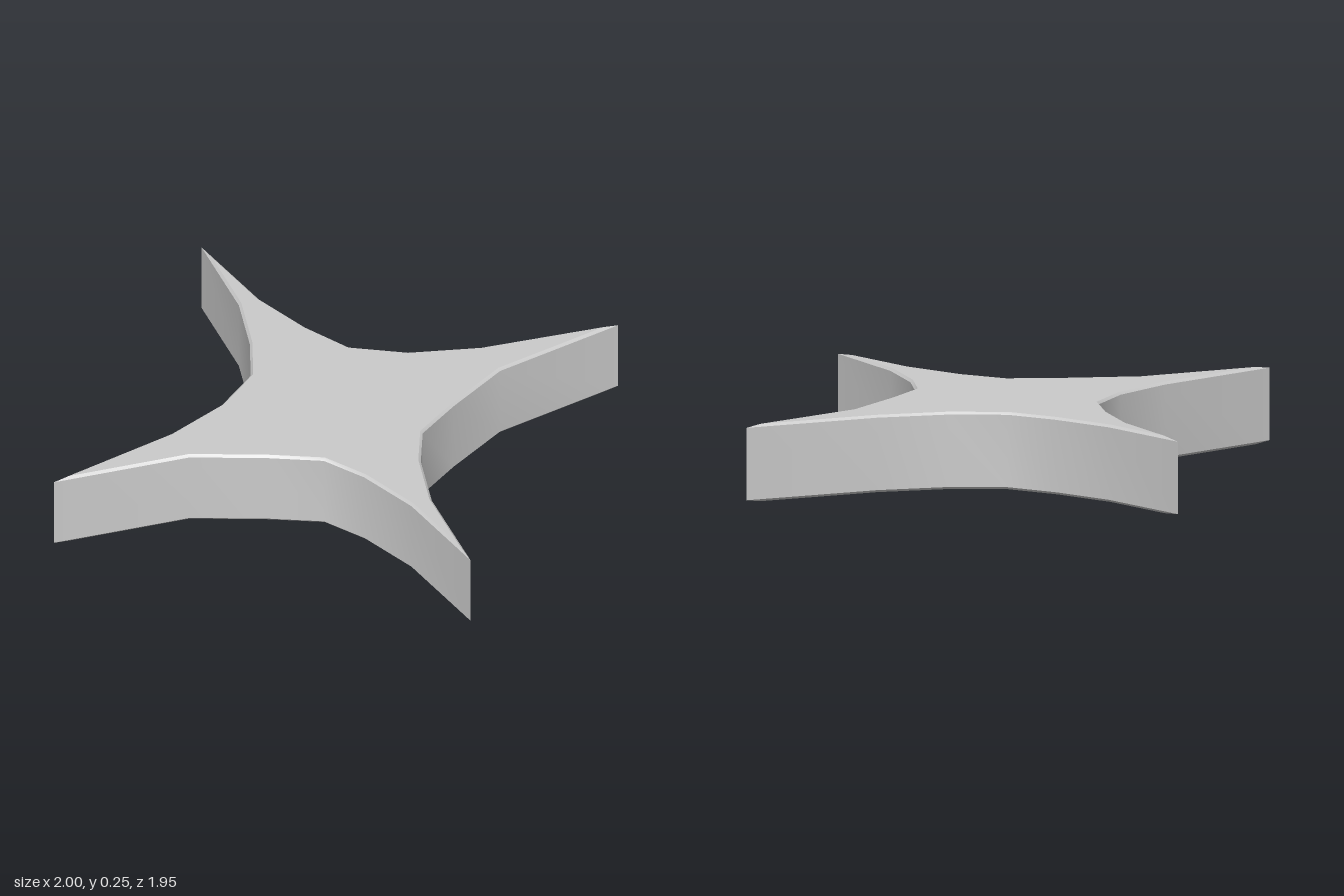
import * as THREE from 'three';
import { toCreasedNormals } from 'three/addons/utils/BufferGeometryUtils.js';

// Half outline (x, z) from the back tip round to the front tip
const HALF = [
  [0, -0.975], [0.036, -0.63], [0.1, -0.42], [0.175, -0.26], [0.33, -0.152], [0.55, -0.075],
  [1, 0],
  [0.55, 0.065], [0.33, 0.177], [0.175, 0.27], [0.1, 0.41], [0.036, 0.62], [0, 0.975],
];
const HEIGHT = 0.25;
const BEVEL = 0.008;

// Moves every corner inwards so that all edges shift by the same distance
function inset(points, d) {
  const n = points.length;
  return points.map((p, i) => {
    const normal = (a, b) => new THREE.Vector2(a.y - b.y, b.x - a.x).normalize();
    const n1 = normal(points[(i + n - 1) % n], p);
    const n2 = normal(p, points[(i + 1) % n]);
    return n1.clone().add(n2).multiplyScalar(d / (1 + n1.dot(n2))).add(p);
  });
}

function starGeometry() {
  const mirrored = HALF.slice(1, -1).reverse().map(([x, z]) => [-x, z]);
  const outer = [...HALF, ...mirrored].map(([x, z]) => new THREE.Vector2(x, z));
  const inner = inset(outer, BEVEL);
  const n = outer.length;

  // Rings from bottom to top: cap edge, wall, wall, cap edge
  const rings = [[inner, 0], [outer, BEVEL], [outer, HEIGHT - BEVEL], [inner, HEIGHT]];
  const positions = [];
  for (const [ring, y] of rings) for (const p of ring) positions.push(p.x, y, p.y);
  positions.push(0, 0, 0, 0, HEIGHT, 0);

  const bottom = 4 * n, top = bottom + 1, index = [];
  for (let i = 0; i < n; i++) {
    const j = (i + 1) % n;
    for (let r = 0; r < 3; r++) {
      const a = r * n + i, b = r * n + j;
      index.push(a, a + n, b + n, a, b + n, b);
    }
    index.push(bottom, i, j, top, 3 * n + j, 3 * n + i);
  }
  const geometry = new THREE.BufferGeometry();
  geometry.setAttribute('position', new THREE.Float32BufferAttribute(positions, 3));
  geometry.setIndex(index);
  return toCreasedNormals(geometry, THREE.MathUtils.degToRad(31));
}

export function createModel() {
  const group = new THREE.Group();
  group.name = 'fourPointedStar';
  const star = new THREE.Mesh(starGeometry(), new THREE.MeshStandardMaterial({ color: 0xcccccc }));
  star.name = 'starPlate';
  group.add(star);
  return group;
}
